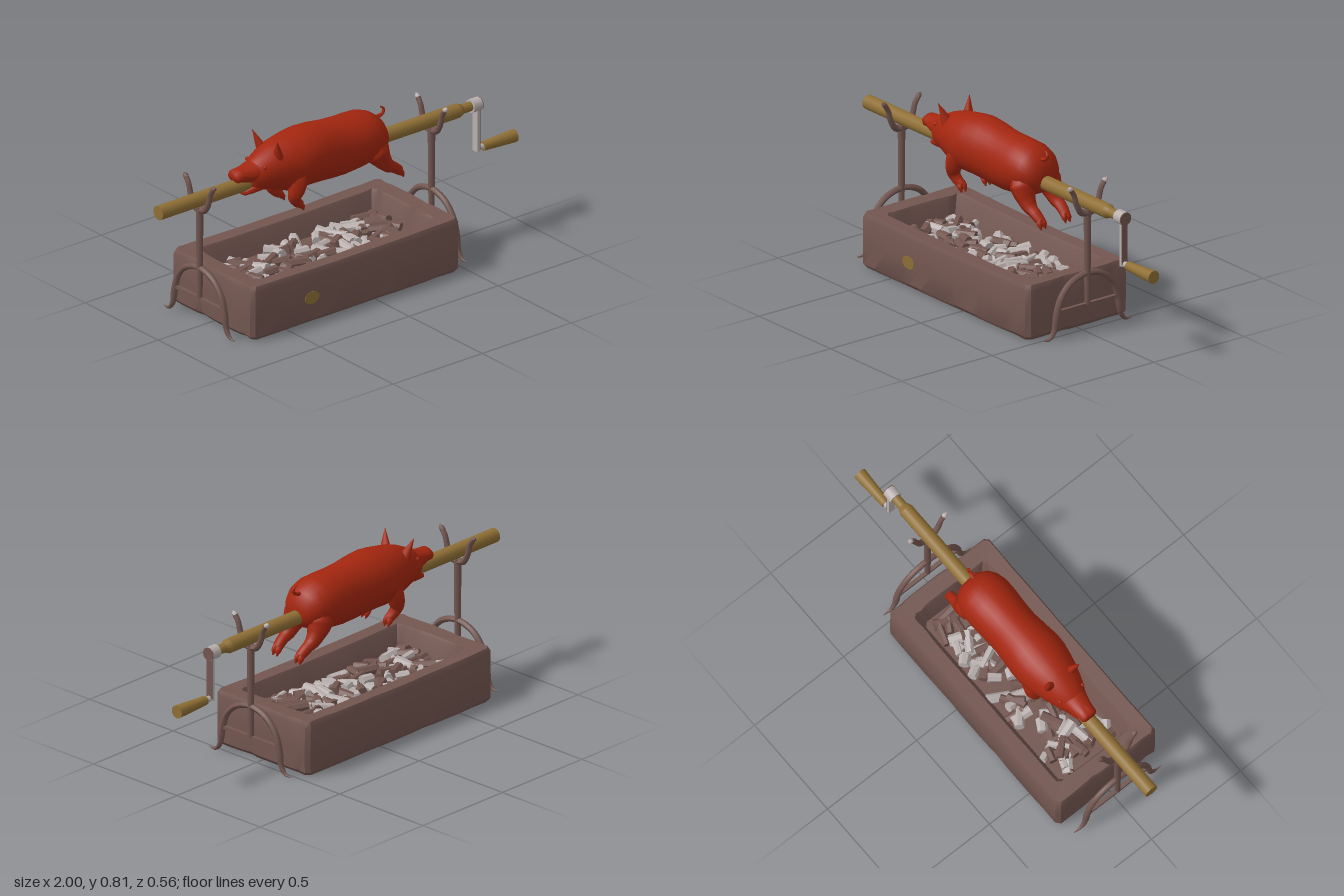
import * as THREE from 'three';
import { toCreasedNormals } from 'three/addons/utils/BufferGeometryUtils.js';

const V = (x, y, z) => new THREE.Vector3(x, y, z);
const mat = (name, color) => {
  const m = new THREE.MeshStandardMaterial({ color });
  m.name = name;
  return m;
};

// Skin through equal-length loops of points, capped at both ends
function loft(loops, crease) {
  const n = loops[0].length, pos = [], idx = [];
  loops.forEach(l => l.forEach(p => pos.push(p.x, p.y, p.z)));
  for (let j = 0; j < loops.length - 1; j++) for (let i = 0; i < n; i++) {
    const k = (i + 1) % n, a = j * n + i, b = j * n + k;
    idx.push(a, b, b + n, a, b + n, a + n);
  }
  [0, loops.length - 1].forEach(j => {
    const c = V(0, 0, 0), ci = pos.length / 3;
    loops[j].forEach(p => c.addScaledVector(p, 1 / n));
    pos.push(c.x, c.y, c.z);
    for (let i = 0; i < n; i++) {
      const a = j * n + i, b = j * n + (i + 1) % n;
      if (j) idx.push(ci, a, b); else idx.push(ci, b, a);
    }
  });
  const g = new THREE.BufferGeometry();
  g.setAttribute('position', new THREE.Float32BufferAttribute(pos, 3));
  g.setIndex(idx);
  g.computeVertexNormals();
  return crease ? toCreasedNormals(g, crease) : g;
}

// Tube whose radius follows a list of values along its length
function taperTube(points, radii, seg = 24, sides = 10) {
  const curve = new THREE.CatmullRomCurve3(points);
  const g = new THREE.TubeGeometry(curve, seg, 1, sides);
  const p = g.attributes.position, v = V(0, 0, 0);
  for (let i = 0; i <= seg; i++) {
    const c = curve.getPointAt(i / seg), t = i / seg * (radii.length - 1);
    const k = Math.min(Math.floor(t), radii.length - 2);
    const r = THREE.MathUtils.lerp(radii[k], radii[k + 1], t - k);
    for (let j = 0; j <= sides; j++) {
      const n = i * (sides + 1) + j;
      v.fromBufferAttribute(p, n).sub(c).multiplyScalar(r).add(c);
      p.setXYZ(n, v.x, v.y, v.z);
    }
  }
  g.computeVertexNormals();
  return g;
}

// Cylinder lying along x
function rod(x0, x1, r0, r1, y, sides = 16) {
  const g = new THREE.CylinderGeometry(r1, r0, x1 - x0, sides);
  return g.rotateZ(-Math.PI / 2).translate((x0 + x1) / 2, y, 0);
}

export function createModel() {
  const root = new THREE.Group();
  const red = mat('roastRed', 0xa3260f), brown = mat('sootBrown', 0x735650);
  const wood = mat('wood', 0x8f6f35), ash = mat('ashGrey', 0xb9b0ae);
  const add = (name, geo, m, parent = root) => {
    const mesh = new THREE.Mesh(geo, m);
    mesh.name = name;
    parent.add(mesh);
    return mesh;
  };
  const group = name => {
    const g = new THREE.Group();
    g.name = name;
    root.add(g);
    return g;
  };
  let seed = 7;
  const rnd = () => (seed = (seed * 16807) % 2147483647) / 2147483647;

  // Stone trough: worn outer wall, rim, sloping inner wall and floor
  const cx = -0.115;
  const slab = (hx, hz, y, wear) => {
    const r = 0.018, n = 14, out = [];
    const sides = [
      t => [t * (hx - r), hz], t => [hx, -t * (hz - r)],
      t => [-t * (hx - r), -hz], t => [-hx, t * (hz - r)]];
    sides.forEach((f, s) => {
      for (let i = 0; i <= n; i++) {
        const [x, z] = f(-1 + 2 * i / n);
        const k = 1 - wear * Math.max(0, Math.sin(x * 17 + z * 23 + y * 30 + s * 2)) * (i % 4 === 1 ? 1 : 0.4);
        const sag = y > 0.2 ? 0.008 * (1 - (x / 0.585) ** 2) : 0;
        out.push(V(cx + x * k, y - sag, z * k));
      }
    });
    return out;
  };
  add('trough', loft([
    slab(0.57, 0.268, 0, 0.02), slab(0.585, 0.28, 0.018, 0.012), slab(0.585, 0.28, 0.12, 0.008),
    slab(0.585, 0.28, 0.232, 0.012), slab(0.575, 0.27, 0.255, 0.015), slab(0.505, 0.208, 0.253, 0.02),
    slab(0.497, 0.2, 0.24, 0.01), slab(0.47, 0.17, 0.145, 0)], 0.6), brown);
  const spot = add('troughSpot', new THREE.CylinderGeometry(0.03, 0.03, 0.006, 10), wood);
  spot.rotation.x = Math.PI / 2;
  spot.scale.x = 1.4;
  spot.position.set(-0.365, 0.118, 0.279);

  // Bed of charcoal, part burnt to ash
  const coals = group('coals');
  const lump = new THREE.CylinderGeometry(0.021, 0.023, 0.085, 7);
  const lumpGeo = toCreasedNormals(lump, 0.5);
  for (let i = 0; i < 125; i++) {
    const c = add('coal', lumpGeo, rnd() < 0.62 ? brown : ash, coals);
    const x = (rnd() * 2 - 1) * 0.44, z = (rnd() * 2 - 1) * 0.145;
    c.position.set(cx + x, 0.157 + 0.03 * rnd() * (1 - Math.abs(z) / 0.2), z);
    c.rotation.set(Math.PI / 2 + (rnd() - 0.5) * 0.5, 0, rnd() * Math.PI);
    c.scale.set(0.8 + rnd() * 0.4, 0.6 + rnd() * 0.7, 0.8 + rnd() * 0.4);
  }

  // Forked stands at both ends
  for (const x of [-0.767, 0.535]) {
    const stand = group('stand');
    const leg = [[0.247, 0.013], [0.212, 0.014], [0.185, 0.045], [0.17, 0.125], [0.145, 0.195], [0.09, 0.252]];
    const arch = [...leg.map(([z, y]) => V(x, y, z)), V(x, 0.277, 0),
      ...leg.slice().reverse().map(([z, y]) => V(x, y, -z))];
    add('archLegs', taperTube(arch, [0.001, 0.011, 0.015, 0.015, 0.014, 0.014, 0.014, 0.014, 0.014, 0.014, 0.015, 0.015, 0.011, 0.001], 72, 8), brown, stand);
    add('crossbar', new THREE.BoxGeometry(0.018, 0.014, 0.32).translate(x, 0.132, 0), brown, stand);
    add('post', new THREE.CylinderGeometry(0.017, 0.013, 0.44, 8).translate(x, 0.35, 0), brown, stand);
    for (const s of [-1, 1]) {
      add('forkArm', taperTube([V(x, 0.555, 0), V(x, 0.565, s * 0.035), V(x, 0.605, s * 0.06),
        V(x, 0.655, s * 0.075), V(x, 0.683, s * 0.093)], [0.016, 0.015, 0.013, 0.012, 0.012], 20, 8), brown, stand);
      add('forkTip', taperTube([V(x, 0.682, s * 0.092), V(x, 0.69, s * 0.1), V(x, 0.698, s * 0.108)],
        [0.012, 0.011, 0.001], 6, 8), x > 0 ? ash : brown, stand);
    }
  }

  // Spit with a tapered end, crank and handle
  const Y = 0.607, spit = group('spit');
  add('pole', rod(-1, 0.68, 0.033, 0.033, Y), wood, spit);
  add('poleTaper', rod(0.68, 0.705, 0.033, 0.022, Y), wood, spit);
  add('poleEnd', rod(0.705, 0.765, 0.022, 0.022, Y), wood, spit);
  add('crankCollar', rod(0.752, 0.8, 0.031, 0.031, Y), ash, spit);
  add('collarCap', rod(0.8, 0.804, 0.03, 0.03, Y), brown, spit);
  add('crankArm', new THREE.BoxGeometry(0.014, 0.22, 0.032).translate(0.786, 0.495, 0), ash, spit);
  add('crankArmFace', new THREE.BoxGeometry(0.004, 0.2, 0.032).translate(0.795, 0.495, 0), brown, spit);
  add('crankPin', rod(0.78, 0.83, 0.014, 0.014, 0.395, 10), ash, spit);
  add('handle', rod(0.822, 1, 0.021, 0.03, 0.395), wood, spit);

  // Pig: rings listed as x, bottom, top, half width
  const pig = group('pig');
  const ringLoft = rows => loft(rows.map(([x, lo, hi, w]) => Array.from({ length: 28 }, (_, i) => {
    const a = i / 28 * Math.PI * 2, s = Math.sin(a);
    return V(x, (lo + hi) / 2 + s * (hi - lo) / 2, -Math.cos(a) * w);
  })), 1);
  add('body', ringLoft([
    [-0.5, 0.585, 0.685, 0.046], [-0.475, 0.565, 0.705, 0.062], [-0.44, 0.56, 0.725, 0.078],
    [-0.4, 0.552, 0.745, 0.092], [-0.35, 0.535, 0.763, 0.108], [-0.3, 0.518, 0.772, 0.12],
    [-0.25, 0.515, 0.78, 0.129], [-0.2, 0.516, 0.786, 0.13], [-0.13, 0.512, 0.784, 0.122],
    [-0.06, 0.506, 0.775, 0.116], [0.01, 0.505, 0.769, 0.118], [0.08, 0.513, 0.767, 0.123],
    [0.14, 0.525, 0.763, 0.122], [0.185, 0.538, 0.748, 0.112], [0.22, 0.555, 0.722, 0.092],
    [0.24, 0.575, 0.69, 0.068], [0.25, 0.598, 0.655, 0.035]]), red, pig);
  add('snout', ringLoft([
    [-0.58, 0.635, 0.678, 0.034], [-0.57, 0.626, 0.687, 0.041], [-0.55, 0.626, 0.688, 0.042],
    [-0.52, 0.615, 0.69, 0.048], [-0.47, 0.6, 0.705, 0.06]]), red, pig);
  add('lowerJaw', ringLoft([
    [-0.535, 0.562, 0.58, 0.015], [-0.525, 0.556, 0.588, 0.03],
    [-0.49, 0.556, 0.61, 0.043], [-0.44, 0.56, 0.65, 0.06]]), red, pig);
  add('tail', taperTube([V(0.19, 0.7, 0), V(0.228, 0.712, 0.004), V(0.255, 0.722, 0.006), V(0.261, 0.742, 0.005),
    V(0.243, 0.757, 0.003)], [0.014, 0.011, 0.008, 0.007, 0.002], 20, 8), red, pig);

  for (const s of [-1, 1]) {
    // Ears, leaning forward and out
    const ear = add('ear', new THREE.ConeGeometry(0.03, 0.1, 10, 3), red, pig);
    ear.scale.x = 0.75;
    ear.position.set(-0.387, 0.76, s * 0.072);
    ear.rotation.set(s * 0.33, 0, 0.3);
    add('eye', new THREE.SphereGeometry(0.009, 8, 6).translate(-0.45, 0.685, s * 0.062), red, pig);

    // Legs, each ending in two pointed toes
    const limbs = {
      frontLeg: [[-0.27, 0.62, 0.07], [-0.29, 0.55, 0.085], [-0.3, 0.51, 0.08], [-0.285, 0.482, 0.073], [-0.262, 0.462, 0.067]],
      backLeg: [[0.15, 0.635, 0.055], [0.185, 0.56, 0.072], [0.225, 0.507, 0.074], [0.265, 0.483, 0.072], [0.297, 0.458, 0.068]],
    };
    for (const [name, pts] of Object.entries(limbs)) {
      const back = name === 'backLeg';
      const p = pts.map(([x, y, z]) => V(x, y, s * z));
      add(name, taperTube(p, back ? [0.05, 0.06, 0.04, 0.027, 0.022] : [0.05, 0.045, 0.036, 0.026, 0.021]), red, pig);
      const foot = p[4];
      for (const d of [-0.011, 0.011])
        add('toe', taperTube([V(foot.x - 0.008, foot.y + 0.008, foot.z + d * 0.7), V(foot.x + 0.005, foot.y - 0.008, foot.z + d),
          V(foot.x + 0.016, foot.y - 0.032, foot.z + d * 1.1)], [0.015, 0.013, 0.002], 8, 8), red, pig);
    }
  }
  return root;
}
